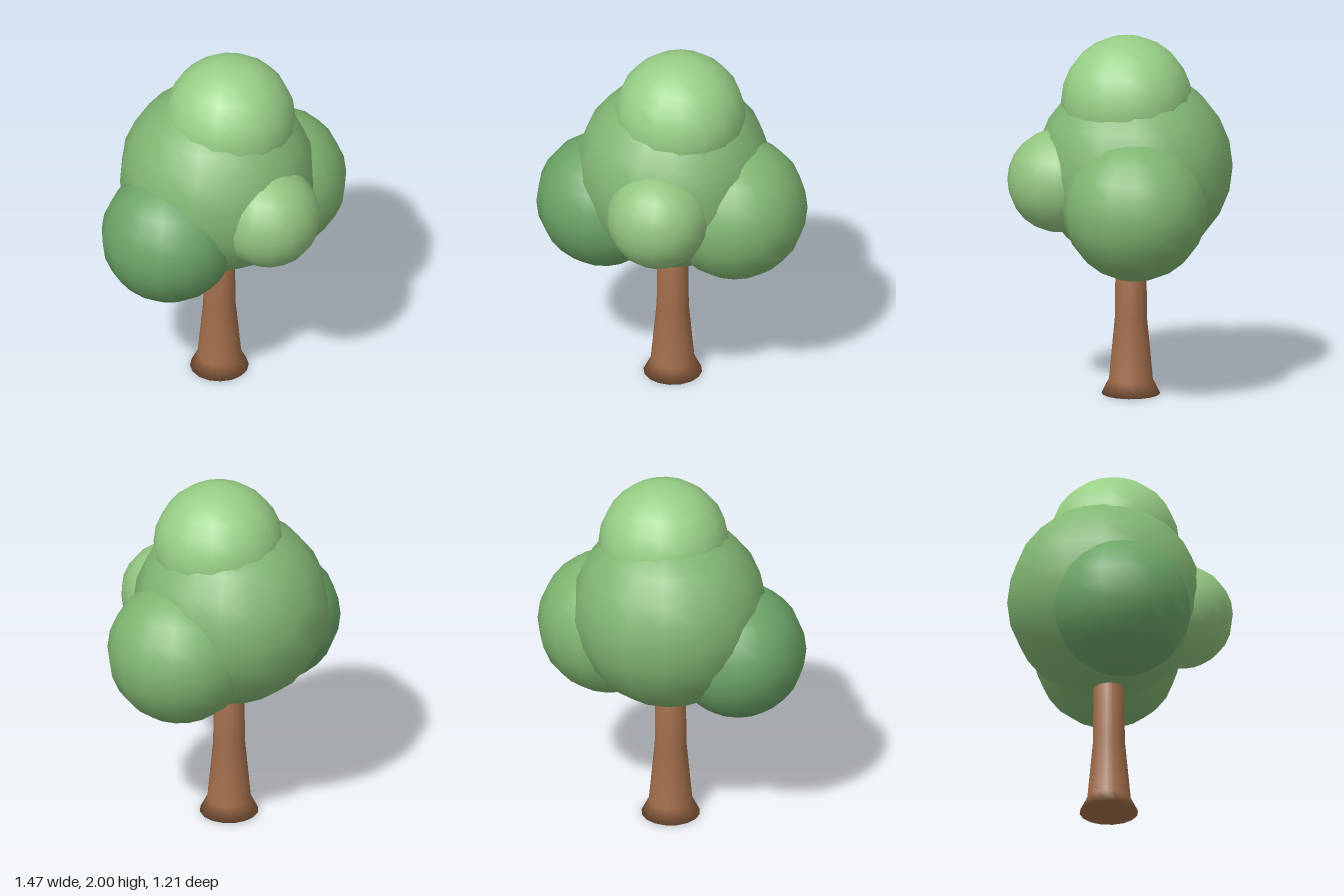
import * as THREE from 'three';

const material = (color) => new THREE.MeshStandardMaterial({ color });

// One rounded clump of leaves
function leafClump(name, radius, position, color, turn) {
  const mesh = new THREE.Mesh(new THREE.SphereGeometry(radius, 16, 12), material(color));
  mesh.name = name;
  mesh.position.set(...position);
  mesh.rotation.y = turn;
  return mesh;
}

export function createModel() {
  const tree = new THREE.Group();
  tree.name = 'tree';

  // Trunk: flared foot, tapering up into the crown, closed at both ends
  const profile = [[0, 0], [0.16, 0], [0.12, 0.08], [0.088, 0.42], [0.083, 0.85], [0, 0.85]]
    .map(([r, y]) => new THREE.Vector2(r, y));
  const trunk = new THREE.Mesh(new THREE.LatheGeometry(profile, 16), material(0xa06c4a));
  trunk.name = 'trunk';
  trunk.position.set(-0.012, 0, -0.053);
  tree.add(trunk);

  // Crown: a large core with smaller clumps around it
  const crown = new THREE.Group();
  crown.name = 'crown';
  crown.add(
    leafClump('crownCore', 0.536, [-0.015, 1.265, -0.07], 0x82b673, 0.1),
    leafClump('crownTop', 0.357, [0.043, 1.643, -0.035], 0x98cf86, 0.1),
    leafClump('crownRight', 0.372, [-0.368, 1.053, 0.07], 0x6ca467, 0.2),
    leafClump('crownLeft', 0.396, [0.342, 1.108, -0.11], 0x80b571, 0.1),
    leafClump('crownFront', 0.283, [0.108, 1.205, 0.328], 0x93c580, 0),
  );
  tree.add(crown);
  return tree;
}
